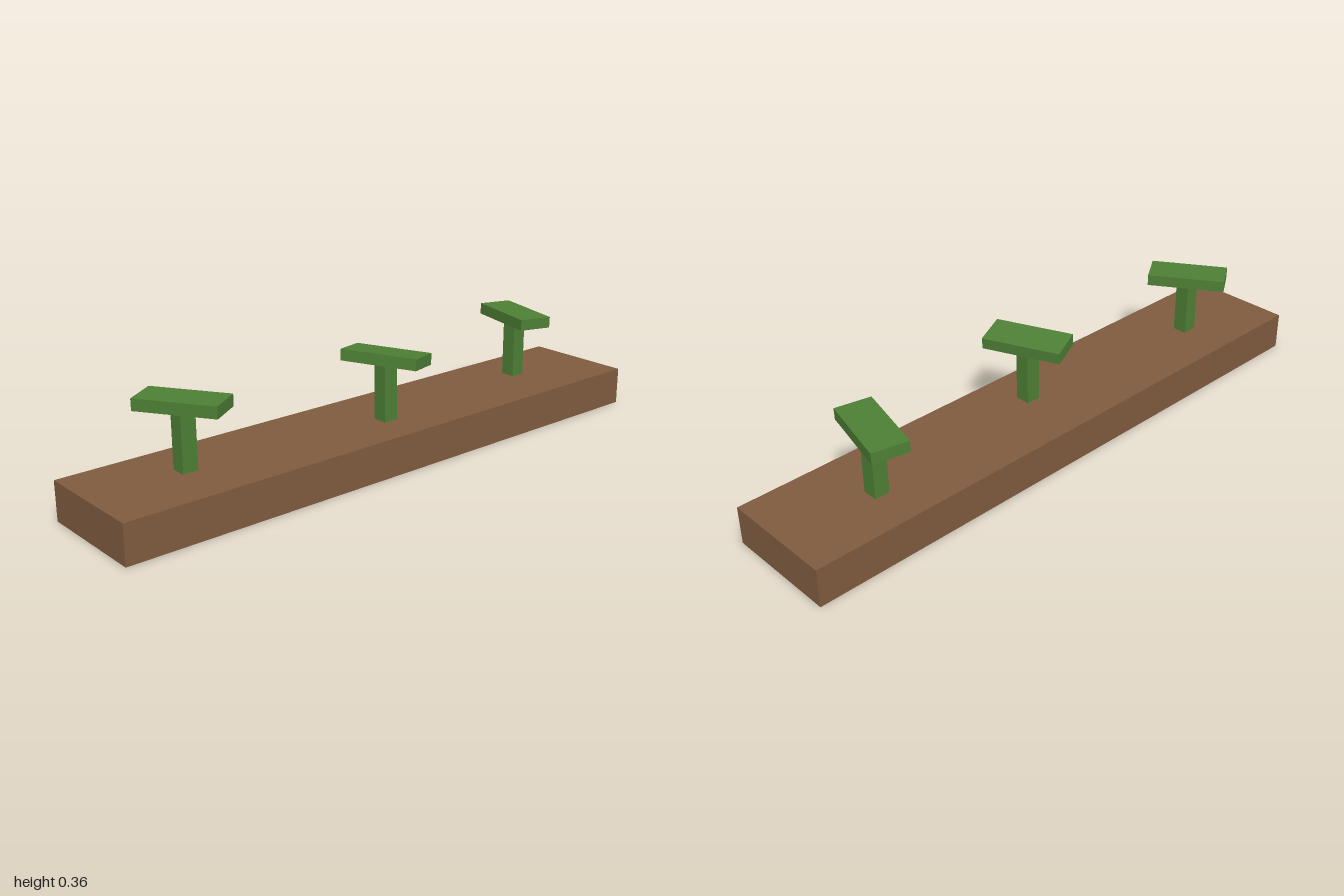
import * as THREE from 'three';

const soil = new THREE.MeshStandardMaterial({ color: 0x805c40, side: THREE.DoubleSide });
soil.name = 'soilBrown';
const leaf = new THREE.MeshStandardMaterial({ color: 0x4e8035, side: THREE.DoubleSide });
leaf.name = 'leafGreen';

// Box with no bottom face, centred on its origin
function openBox(name, w, h, d, material) {
  const geometry = new THREE.BoxGeometry(w, h, d);
  const index = Array.from(geometry.index.array);
  index.splice(18, 6);
  geometry.setIndex(index);
  geometry.clearGroups();
  const mesh = new THREE.Mesh(geometry, material);
  mesh.name = name;
  return mesh;
}

export function createModel() {
  const model = new THREE.Group();
  model.name = 'plantedBed';

  // Long hollow bed
  const bed = openBox('bed', 2, 0.125, 0.375, soil);
  bed.position.y = 0.0625;
  model.add(bed);

  // Sprouts: position, cap height, cap turn and roll in degrees
  const sprouts = [
    { x: -0.683, z: -0.012, y: 0.327, turn: 33.5, roll: 0 },
    { x: 0.024, z: 0.039, y: 0.33, turn: 23, roll: -5.5 },
    { x: 0.677, z: -0.026, y: 0.336, turn: -14, roll: -1.3 },
  ];
  for (const s of sprouts) {
    const sprout = new THREE.Group();
    sprout.name = 'sprout';
    sprout.position.set(s.x, 0, s.z);

    const stem = openBox('stem', 0.05, 0.2, 0.05, leaf);
    stem.position.y = 0.225;

    const cap = openBox('leafCap', 0.115, 0.037, 0.257, leaf);
    cap.position.y = s.y;
    cap.rotation.y = THREE.MathUtils.degToRad(s.turn);
    cap.rotation.z = THREE.MathUtils.degToRad(s.roll);

    sprout.add(stem, cap);
    model.add(sprout);
  }
  return model;
}
